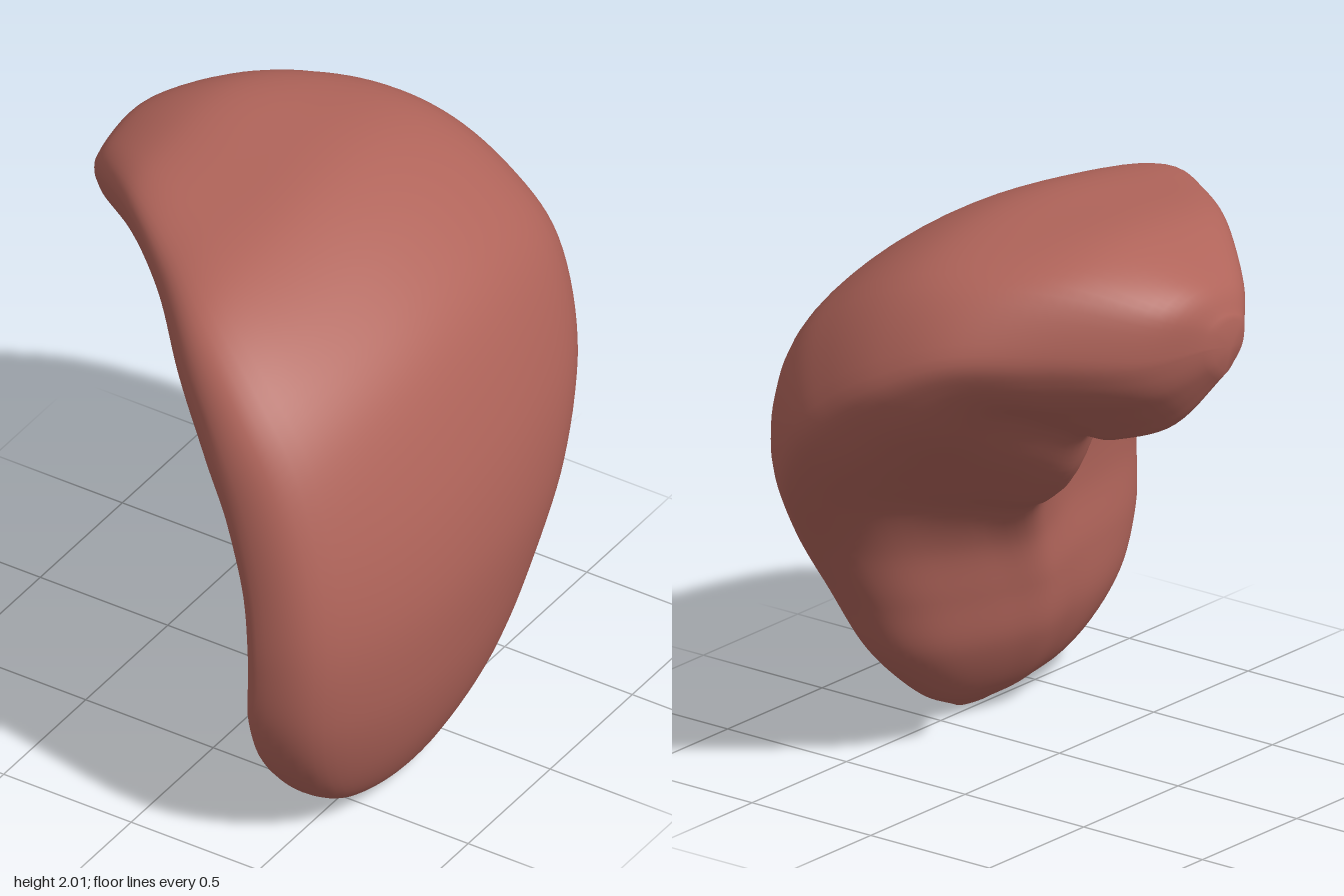
import * as THREE from 'three';

// Stations along the bent body, upper tip to lower tip:
// outer x, y | inner x, y | back z, front z | strength of the hollows | depth of the front edge
const STATIONS = [
  [-0.83, 1.75, -0.82, 1.57, -0.22, -0.06, 0.4, 0.68],
  [-0.75, 1.88, -0.66, 1.37, -0.47, 0.06, 0.9, 0.78],
  [-0.50, 1.99, -0.43, 1.27, -0.70, 0.28, 1, 0.84],
  [-0.20, 2.00, -0.28, 1.24, -0.87, 0.51, 1, 0.81],
  [0.10, 1.97, -0.17, 1.07, -0.95, 0.74, 1, 0.75],
  [0.39, 1.83, -0.08, 0.97, -0.97, 0.87, 1, 0.67],
  [0.62, 1.61, 0.01, 0.90, -0.95, 0.92, 1, 0.58],
  [0.77, 1.25, 0.12, 0.83, -0.84, 0.95, 0.9, 0.5],
  [0.83, 0.90, 0.20, 0.68, -0.65, 0.97, 0.7, 0.44],
  [0.81, 0.57, 0.23, 0.49, -0.45, 0.95, 0.5, 0.41],
  [0.75, 0.30, 0.27, 0.29, -0.28, 0.85, 0.4, 0.41],
  [0.66, 0.10, 0.38, 0.10, -0.05, 0.66, 0.3, 0.45],
  [0.57, 0.00, 0.52, 0.00, 0.15, 0.37, 0.2, 0.5],
];

// Cross-section: across (1 = front edge, -1 = back edge), depth (0 = inner, 1 = outer)
const FRONT = 0.62;
const SECTION = [
  [1, FRONT], [0.91, 0.81], [0.6, 0.93], [0.1, 1], [-0.4, 0.98], [-0.8, 0.86],
  [-1, 0.6], [-0.95, 0.44], [-0.79, 0.31], [-0.53, 0.2], [-0.28, 0.09],
  [-0.05, 0], [0.14, 0.1], [0.4, 0.3], [0.7, 0.41], [0.92, 0.48],
];

const AROUND = 80, ALONG = 84;
const { lerp, smoothstep } = THREE.MathUtils;

function bodyGeometry() {
  const smooth = (pts, closed) => new THREE.CatmullRomCurve3(pts, closed, 'catmullrom', 0.5);
  const outer = smooth(STATIONS.map(s => new THREE.Vector3(s[0], s[1], s[4])), false);
  const inner = smooth(STATIONS.map(s => new THREE.Vector3(s[2], s[3], s[5])), false);
  const blends = smooth(STATIONS.map(s => new THREE.Vector3(s[6], s[7], 0)), false);
  const section = smooth(SECTION.map(([c, d]) => new THREE.Vector3(c, d, 0)), true);
  const profile = Array.from({ length: AROUND }, (_, j) => section.getPoint(j / AROUND));

  const positions = [], index = [];
  for (let i = 0; i <= ALONG; i++) {
    const t = i / ALONG, o = outer.getPoint(t), n = inner.getPoint(t);
    const { x: hollow, y: front } = blends.getPoint(t);
    const midZ = (o.z + n.z) / 2, halfZ = (n.z - o.z) / 2;
    profile.forEach((p, j) => {
      let d = p.y;
      // towards the tips the hollowed inner side fades into a plain round one
      if (j > AROUND * 6 / 16) {
        const round = 0.6 - 0.6 * Math.sqrt(Math.max(0, 1 - p.x * p.x));
        d = lerp(round, d, hollow);
      }
      // the front edge runs near the outer side above and near the inner side below
      const moved = d > FRONT ? 1 - (1 - d) * (1 - front) / (1 - FRONT) : d * front / FRONT;
      d = lerp(d, moved, smoothstep(p.x, -0.1, 0.8));
      positions.push(n.x + (o.x - n.x) * d, n.y + (o.y - n.y) * d, midZ + halfZ * p.x);
    });
  }
  for (let i = 0; i < ALONG; i++) {
    for (let j = 0; j < AROUND; j++) {
      const a = i * AROUND + j, b = i * AROUND + (j + 1) % AROUND;
      index.push(a, a + AROUND, b, b, a + AROUND, b + AROUND);
    }
  }
  // rounded tips closed with fans
  [0, ALONG].forEach(i => {
    const c = outer.getPoint(i / ALONG).lerp(inner.getPoint(i / ALONG), 0.5);
    const hub = positions.length / 3;
    positions.push(c.x - (i ? 0 : 0.01), c.y, c.z);
    for (let j = 0; j < AROUND; j++) {
      const a = i * AROUND + j, b = i * AROUND + (j + 1) % AROUND;
      if (i) index.push(a, hub, b); else index.push(a, b, hub);
    }
  });

  const geometry = new THREE.BufferGeometry();
  geometry.setAttribute('position', new THREE.Float32BufferAttribute(positions, 3));
  geometry.setIndex(index);
  geometry.computeVertexNormals();
  return geometry;
}

export function createModel() {
  const group = new THREE.Group();
  group.name = 'spleen';
  const body = new THREE.Mesh(bodyGeometry(), new THREE.MeshStandardMaterial({ color: 0xb0645a }));
  body.name = 'spleenBody';
  group.add(body);
  return group;
}
